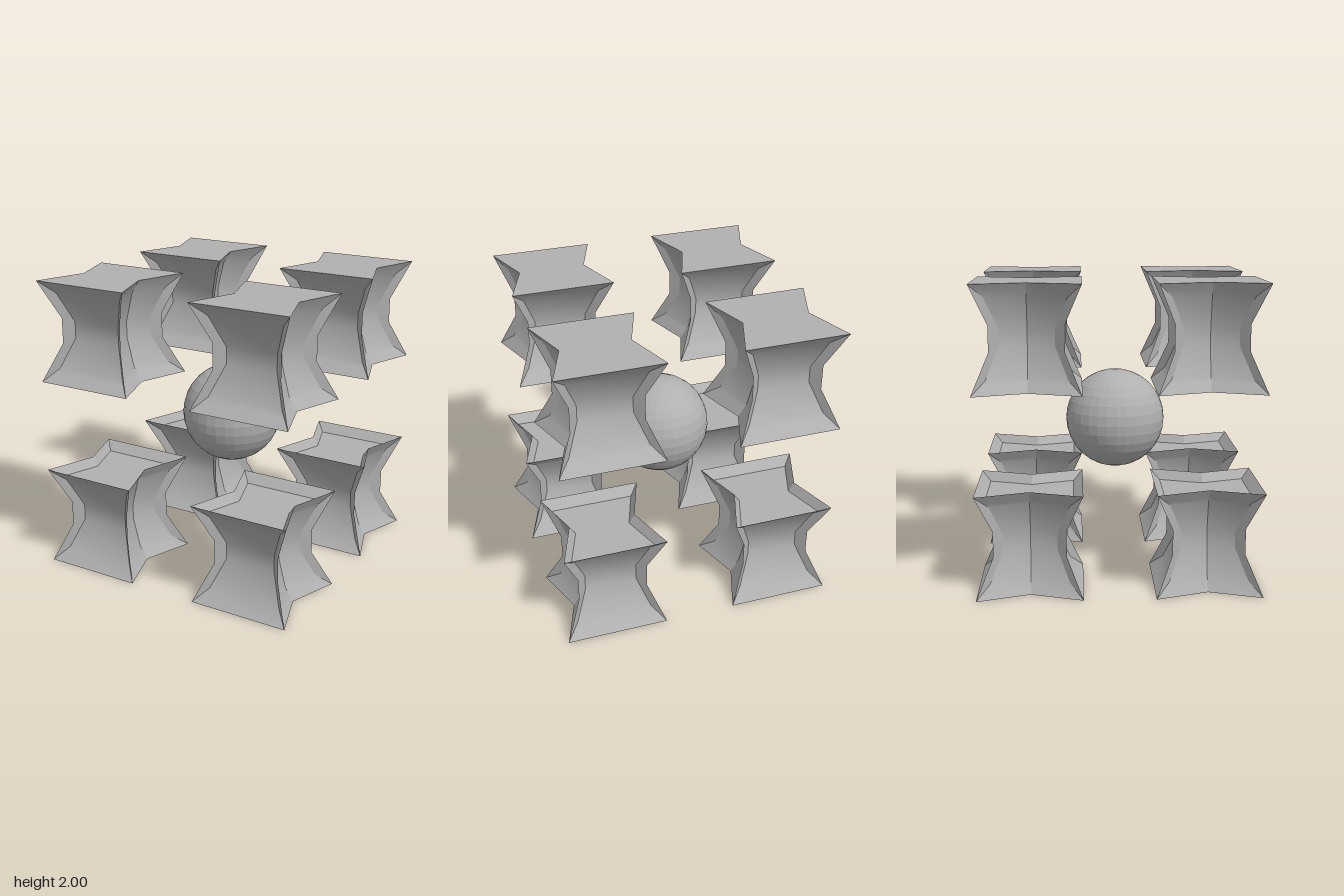
import * as THREE from 'three';
import { toCreasedNormals } from 'three/addons/utils/BufferGeometryUtils.js';

const grey = new THREE.MeshStandardMaterial({ color: 0xb0b0b0 });
grey.name = 'grey';
const greyFacets = grey.clone();
greyFacets.flatShading = true;
const greySheet = grey.clone();
greySheet.side = THREE.DoubleSide;

// Bow-tie cross-section (x, z), scaled along the height of each block
const H = 0.342;
const bowTie = [[1, 1], [-1, 1], [-0.653, 0], [-1, -1], [1, -1], [0.653, 0]];

// Waisted profile as [half width, y]
const upper = [[H, H], [0.255, 0.255], [0.175, 0.055]];
const lower = [[0.175, -0.055], [0.255, -0.255], [0.281, -0.281]];

function loft(rows) {
  const pos = [];
  const put = ([r, y], [x, z]) => pos.push(r * x, y, r * z);
  for (let k = 0; k < rows.length - 1; k++) {
    const a = rows[k], b = rows[k + 1];
    bowTie.forEach((p, i) => {
      const q = bowTie[(i + 1) % bowTie.length];
      put(b, p); put(a, p); put(a, q);
      put(b, p); put(a, q); put(b, q);
    });
  }
  const g = new THREE.BufferGeometry();
  g.setAttribute('position', new THREE.Float32BufferAttribute(pos, 3));
  return toCreasedNormals(g, 0.5);
}

function cap(r, y, dir) {
  const g = new THREE.ShapeGeometry(new THREE.Shape(bowTie.map(([x, z]) => new THREE.Vector2(r * x, r * z))));
  return g.rotateX(-dir * Math.PI / 2).translate(0, y, 0);
}

// Thin diagonal fin that runs down each corner edge
function fin() {
  const d = Math.SQRT2;
  const pts = [
    [H, H], [0.255, 0.255], [0.175, 0.055], [0.175, -0.055], [0.255, -0.255], [H, -H],
    [0.235, -0.085], [0.235, 0.085],
  ];
  return new THREE.ShapeGeometry(new THREE.Shape(pts.map(([r, y]) => new THREE.Vector2(r * d, y))));
}

const parts = {
  blockWalls: [loft([...upper, ...lower]), grey],
  blockOuterCap: [cap(H, H, 1), grey],
  blockRecessedCap: [cap(0.281, -0.281, -1), grey],
  blockRim: [loft([[0.281, -0.281], [H, -H]]), greySheet],
};
const finGeometry = fin();

function add(group, name, geometry, material) {
  const m = new THREE.Mesh(geometry, material);
  m.name = name;
  group.add(m);
  return m;
}

function cornerBlock() {
  const block = new THREE.Group();
  block.name = 'cornerBlock';
  for (const [name, [g, m]] of Object.entries(parts)) add(block, name, g, m);
  for (let k = 0; k < 4; k++) {
    add(block, 'cornerFin', finGeometry, greySheet).rotation.y = Math.PI / 4 + k * Math.PI / 2;
  }
  return block;
}

export function createModel() {
  const model = new THREE.Group();
  model.name = 'blockLattice';

  // Eight corner blocks, recessed ends facing the middle
  for (const x of [-0.58, 0.58]) {
    for (const z of [-0.574, 0.574]) {
      for (const top of [true, false]) {
        const block = cornerBlock();
        block.position.set(x, top ? 2 - H : H, z);
        if (!top) block.rotation.x = Math.PI;
        model.add(block);
      }
    }
  }

  // Faceted ball in the middle
  add(model, 'centreBall', new THREE.SphereGeometry(H, 32, 16), greyFacets).position.y = 1;
  return model;
}
